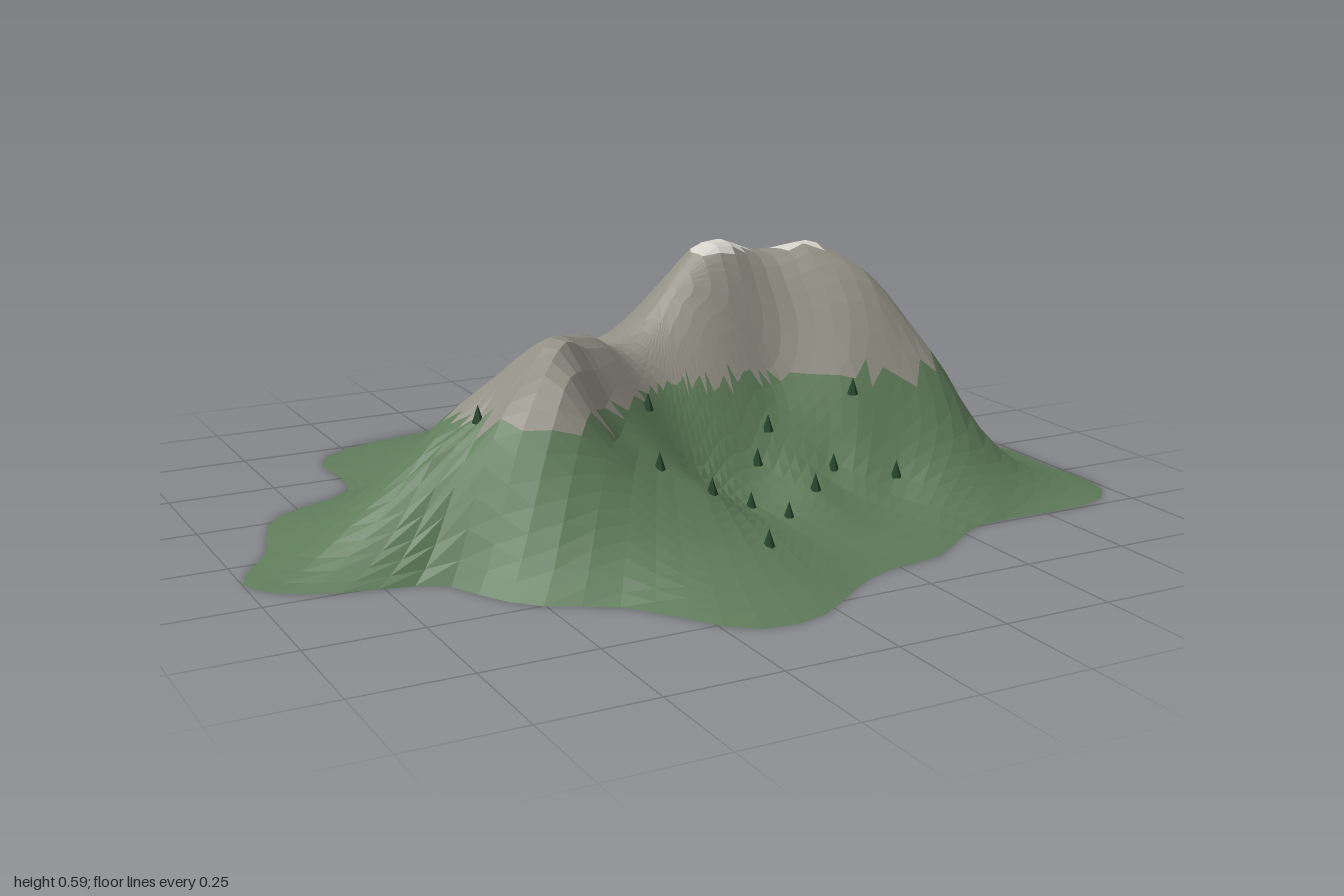
import * as THREE from 'three';
import { mergeGeometries } from 'three/addons/utils/BufferGeometryUtils.js';

const SEGMENTS = 80, RINGS = 26;
const CENTRE = [0.03, -0.03];

// shoreline of the foot, x z pairs
const RIM = [
  0.99, 0.04, 0.99, 0.2, 1, 0.35, 0.96, 0.45, 0.87, 0.49, 0.7, 0.49, 0.55, 0.5, 0.47, 0.55, 0.37, 0.62,
  0.2, 0.65, 0.09, 0.71, -0.02, 0.79, -0.12, 0.815, -0.21, 0.79, -0.3, 0.67, -0.37, 0.58, -0.52, 0.49,
  -0.58, 0.41, -0.64, 0.3, -0.77, 0.26, -0.88, 0.23, -0.97, 0.17, -1, 0.1, -0.9, -0.06, -0.85, -0.22,
  -0.8, -0.29, -0.6, -0.4, -0.585, -0.52, -0.59, -0.65, -0.53, -0.71, -0.45, -0.75, -0.22, -0.8,
  -0.1, -0.82, -0.02, -0.81, 0.09, -0.75, 0.2, -0.66, 0.28, -0.66, 0.47, -0.72, 0.56, -0.72, 0.65, -0.68,
  0.74, -0.6, 0.93, -0.52, 0.97, -0.44, 0.94, -0.36, 0.87, -0.24, 0.87, -0.18, 0.94, -0.05,
];

// summits, ridges, spurs and valley floors: x, z, height
const RELIEF = [
  [0.2, -0.015, 0.575], [0.14, -0.07, 0.57], [0.22, -0.1, 0.55], [0.31, -0.02, 0.55], [0.42, -0.02, 0.572],
  [0.37, -0.04, 0.565], [0.5, 0.05, 0.53], [0.6, 0.09, 0.42], [0.07, -0.03, 0.5], [0.02, -0.03, 0.45],
  [-0.1, 0.02, 0.38], [-0.18, 0.08, 0.42], [-0.3, 0.19, 0.445], [-0.34, 0.27, 0.385], [-0.4, 0.19, 0.39],
  [0.43, -0.31, 0.48], [0.5, -0.34, 0.48], [0.46, -0.4, 0.42], [0.51, -0.27, 0.43], [0.34, -0.22, 0.45],
  [0.58, -0.38, 0.41], [0.01, -0.18, 0.38], [0.52, 0.12, 0.48],
  [-0.6, 0.17, 0.23], [-0.7, 0.16, 0.14], [-0.8, 0.14, 0.08], [-0.9, 0.1, 0.03],
  [0.71, 0.12, 0.22], [0.8, 0.16, 0.08], [0.76, -0.42, 0.15], [0.83, -0.43, 0.07],
  [-0.43, 0.4, 0.16], [-0.46, 0.46, 0.06], [0.54, -0.53, 0.13], [0.56, -0.59, 0.05],
  [0.66, 0.34, 0.13], [0.72, 0.42, 0.04], [0.75, -0.13, 0.06], [0.68, -0.14, 0.11],
  [-0.01, 0.24, 0.14], [-0.6, -0.25, 0.04], [-0.35, -0.6, 0.04],
];

// tree line on the slopes, x z pairs at one height
const TREE_LINE = [
  0.69, -0.4, 0.6, -0.27, 0.56, -0.1, 0.68, 0.05, 0.64, 0.22, 0.25, 0.12, 0, 0.1, -0.24, 0.25,
  -0.4, 0.32, -0.48, 0.25, -0.51, 0.06, -0.34, -0.06, -0.2, -0.1, -0.1, -0.25, 0.21, -0.27,
];

// tree positions: x, z, height of the ground
const TREES = [
  [-0.5, 0.17, 0.3], [-0.1, 0.17, 0.275], [-0.155, 0.33, 0.19], [-0.05, 0.37, 0.13], [-0.01, 0.54, 0.06],
  [0.07, 0.33, 0.07], [0.13, 0.39, 0.055], [0.235, 0.33, 0.085], [0.32, 0.27, 0.11], [0.45, 0.33, 0.09],
  [0.4, 0.22, 0.26], [0.2, 0.18, 0.19], [0.15, 0.22, 0.13], [0.615, -0.11, 0.17], [0.6, -0.2, 0.255],
  [-0.315, -0.45, 0.06], [-0.2, -0.535, 0.06], [0.03, -0.465, 0.07], [0.145, -0.42, 0.075],
  [0.285, -0.455, 0.135], [0.295, -0.37, 0.27], [0.46, -0.48, 0.255], [-0.07, -0.4, 0.11],
  [-0.15, -0.335, 0.11], [-0.21, -0.275, 0.13], [-0.29, -0.275, 0.085], [-0.295, -0.19, 0.14],
  [-0.165, -0.165, 0.2], [-0.52, -0.22, 0.05], [-0.515, -0.1, 0.11], [-0.385, -0.13, 0.18],
  [0.085, -0.28, 0.255], [0.16, -0.3, 0.245],
];

const pairs = (list, y) => Array.from({ length: list.length / 2 }, (_, i) => [list[2 * i], list[2 * i + 1], y]);

// smooth surface through all the height points (radial basis interpolation)
function makeHeight(points) {
  const n = points.length;
  const kernel = (ax, az, b) => -Math.sqrt((ax - b[0]) ** 2 + (az - b[1]) ** 2 + 0.0012);
  const m = points.map((p, i) => [
    ...points.map((q, j) => kernel(p[0], p[1], q) - (i === j ? 0.004 : 0)), 1, p[2]]);
  m.push([...points.map(() => 1), 0, 0]);
  for (let c = 0; c <= n; c++) {
    let best = c;
    for (let r = c + 1; r <= n; r++) if (Math.abs(m[r][c]) > Math.abs(m[best][c])) best = r;
    [m[c], m[best]] = [m[best], m[c]];
    for (let r = 0; r <= n; r++) {
      if (r === c) continue;
      const f = m[r][c] / m[c][c];
      for (let k = c; k <= n + 1; k++) m[r][k] -= f * m[c][k];
    }
  }
  const w = m.map((row, i) => row[n + 1] / row[i]);
  return (x, z) => Math.max(0.003, points.reduce((s, p, i) => s + w[i] * kernel(x, z, p), w[n]));
}

export function createModel() {
  const model = new THREE.Group();
  model.name = 'mountain';
  const ground = (name, color) => {
    const m = new THREE.MeshStandardMaterial({ color, flatShading: true, side: THREE.DoubleSide });
    m.name = name;
    return m;
  };
  const layers = [
    { name: 'grassSlopes', material: ground('grass green', 0x5e7b59), data: [] },
    { name: 'rockSlopes', material: ground('rock grey', 0x918e83), data: [] },
    { name: 'snowCaps', material: ground('snow white', 0xd3d2c9), data: [] },
  ];

  const rim = pairs(RIM, 0);
  const height = makeHeight([...rim, ...RELIEF, ...pairs(TREE_LINE, 0.3), ...TREES]);

  // rings of points from the centre out to the shoreline
  const outline = new THREE.CatmullRomCurve3(rim.map(([x, z]) => new THREE.Vector3(x, 0, z)), true)
    .getSpacedPoints(SEGMENTS);
  const grid = [];
  for (let r = 0; r <= RINGS; r++) {
    grid.push(outline.map((p) => {
      const t = r / RINGS;
      const x = CENTRE[0] + (p.x - CENTRE[0]) * t, z = CENTRE[1] + (p.z - CENTRE[1]) * t;
      return [x, r === RINGS ? 0 : height(x, z), z];
    }));
  }

  // each triangle joins the layer of its mean height
  const addTriangle = (a, b, c) => {
    const y = (a[1] + b[1] + c[1]) / 3;
    layers[y > 0.561 ? 2 : y > 0.3 ? 1 : 0].data.push(...a, ...b, ...c);
  };
  for (let r = 0; r < RINGS; r++) {
    for (let s = 0; s < SEGMENTS; s++) {
      const a = grid[r][s], b = grid[r][s + 1], c = grid[r + 1][s + 1], d = grid[r + 1][s];
      if (r > 0) addTriangle(a, b, c);
      addTriangle(a, c, d);
    }
  }
  for (const { name, material, data } of layers) {
    const geometry = new THREE.BufferGeometry();
    geometry.setAttribute('position', new THREE.Float32BufferAttribute(data, 3));
    geometry.computeVertexNormals();
    const mesh = new THREE.Mesh(geometry, material);
    mesh.name = name;
    model.add(mesh);
  }

  // small conifers scattered on the lower slopes
  const pine = new THREE.MeshStandardMaterial({ color: 0x24452a, flatShading: true });
  pine.name = 'pine green';
  const cones = TREES.map(([x, z]) =>
    new THREE.ConeGeometry(0.013, 0.04, 6).translate(x, height(x, z) + 0.016, z));
  const trees = new THREE.Mesh(mergeGeometries(cones), pine);
  trees.name = 'pineTrees';
  model.add(trees);
  return model;
}
